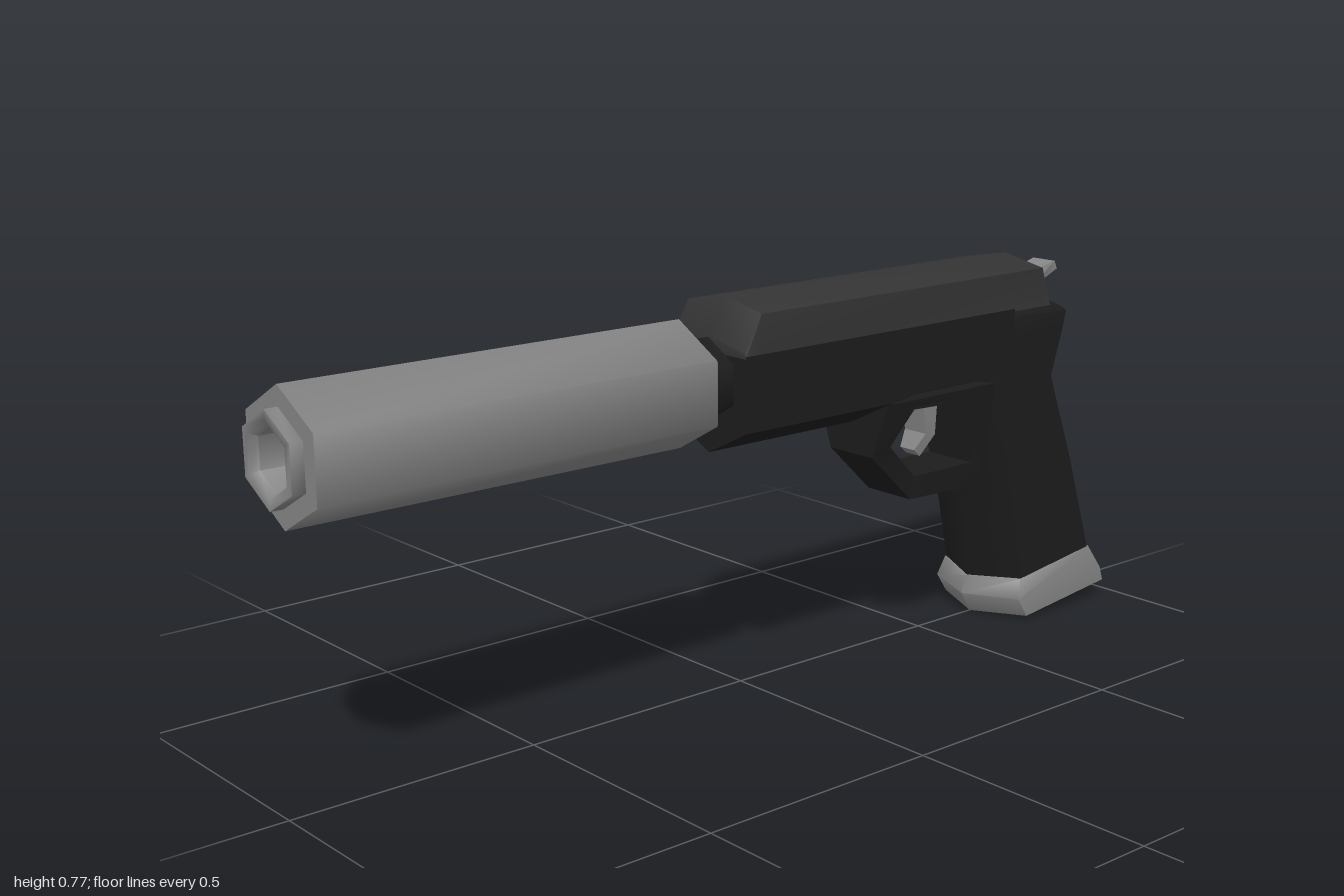
import * as THREE from 'three';
import { toCreasedNormals } from 'three/addons/utils/BufferGeometryUtils.js';

const CREASE = 1.1;
const mat = (color) => new THREE.MeshStandardMaterial({ color });

// Joins rings of points into a capped solid; the winding is chosen by signed volume
function loft(rings) {
  const n = rings[0].length, pts = rings.flat(), idx = [];
  for (let r = 0; r < rings.length - 1; r++) {
    for (let i = 0; i < n; i++) {
      const a = r * n + i, b = r * n + (i + 1) % n;
      idx.push(a, b, b + n, a, b + n, a + n);
    }
  }
  const last = (rings.length - 1) * n;
  for (let i = 1; i < n - 1; i++) idx.push(0, i + 1, i, last, last + i, last + i + 1);
  const v = pts.map((p) => new THREE.Vector3(...p));
  let volume = 0;
  for (let i = 0; i < idx.length; i += 3) {
    volume += v[idx[i]].dot(v[idx[i + 1]].clone().cross(v[idx[i + 2]]));
  }
  if (volume < 0) idx.reverse();
  const g = new THREE.BufferGeometry();
  g.setAttribute('position', new THREE.Float32BufferAttribute(pts.flat(), 3));
  g.setIndex(idx);
  return toCreasedNormals(g, CREASE);
}

// Six-sided turned part lying along z, corner upward
function turned(profile) {
  const g = new THREE.LatheGeometry(profile.map((p) => new THREE.Vector2(...p)), 6);
  g.rotateX(Math.PI / 2).scale(1.03, 1, 1).translate(0, 0.622, 0);
  return toCreasedNormals(g, CREASE);
}

// Plate drawn as [z, y] points, thickened across x; widthAt(z, y) gives the half width
function plate(outline, widthAt, hole) {
  const pts = (list) => list.map(([z, y]) => new THREE.Vector2(-z, y));
  const shape = new THREE.Shape(pts(outline));
  if (hole) shape.holes.push(new THREE.Path(pts(hole)));
  const g = new THREE.ExtrudeGeometry(shape, { depth: 2, bevelEnabled: false });
  g.translate(0, 0, -1).rotateY(Math.PI / 2);
  const p = g.attributes.position;
  for (let i = 0; i < p.count; i++) p.setX(i, p.getX(i) * widthAt(p.getZ(i), p.getY(i)));
  return toCreasedNormals(g, 0.7);
}

// Hexagonal grip ring with a point at the front and at the back
function gripRing([zf, yf, zb, yb, w, inset = 0.05]) {
  const at = (x, z) => [x, yf + (yb - yf) * (z - zf) / (zb - zf), z];
  const f = zf - inset, b = zb + inset * 0.8;
  return [at(0, zf), at(w, f), at(w, b), at(0, zb), at(-w, b), at(-w, f)];
}

export function createModel() {
  const group = new THREE.Group();
  const metal = mat(0x858585), dark = mat(0x1c1c1c), slideMat = mat(0x333333), black = mat(0x0c0c0c);
  const add = (name, geometry, material) => {
    const m = new THREE.Mesh(geometry, material);
    m.name = name;
    group.add(m);
  };

  // Muzzle tube with its open bore, and the barrel behind it
  add('suppressor', turned([
    [0, 0.132], [0.1, 0.132], [0.122, 0.15], [0.122, 0.975], [0.085, 0.975],
    [0.085, 1], [0.068, 1], [0.058, 0.985], [0.058, 0.8], [0, 0.8],
  ]), metal);
  add('barrel', turned([[0, 0.02], [0.08, 0.02], [0.08, 0.14], [0, 0.14]]), dark);

  // Slide with a shallow ridged top and sloped ends
  add('slide', loft([
    [0.08, 0.705], [0.04, 0.775], [-0.735, 0.775], [-0.76, 0.7],
  ].map(([z, top]) => [
    [0.108, 0.675, z], [0.105, top - 0.02, z], [0, top, z], [-0.105, top - 0.02, z], [-0.108, 0.675, z],
  ])), slideMat);
  const notch = [[-0.7, 0.675], [-0.7, 0.735], [-0.752, 0.735], [-0.772, 0.675]];
  add('hammerNotch', plate(notch, () => 0.05), black);

  // Frame with a keeled underside that steps up over the trigger
  add('frame', loft([
    [0.08, 0.48, 0.535], [-0.3, 0.48, 0.535], [-0.37, 0.508, 0.545], [-0.65, 0.51, 0.545],
  ].map(([z, keel, side]) => [
    [0.109, 0.68, z], [-0.109, 0.68, z], [-0.109, side, z], [0, keel, z], [0.109, side, z],
  ])), dark);

  // Raked grip rising into the rear tang
  add('grip', loft([
    [-0.65, 0.075, -0.955, 0.12, 0.109],
    [-0.6, 0.31, -0.885, 0.33, 0.109],
    [-0.56, 0.515, -0.81, 0.525, 0.109],
    [-0.56, 0.6, -0.84, 0.62, 0.109],
    [-0.56, 0.665, -0.85, 0.658, 0.109],
    [-0.59, 0.68, -0.825, 0.675, 0.1],
  ].map(gripRing)), dark);
  add('magazineBase', loft([
    [-0.66, 0, -1, 0.04, 0.119],
    [-0.632, 0.045, -0.988, 0.07, 0.12],
    [-0.645, 0.083, -0.957, 0.125, 0.11],
  ].map(gripRing)), metal);

  // Trigger guard, flaring where it meets the frame
  add('triggerGuard', plate(
    [[-0.295, 0.53], [-0.295, 0.415], [-0.405, 0.31], [-0.64, 0.305], [-0.64, 0.53]],
    (z, y) => (y > 0.5 ? 0.1 : 0.06),
    [[-0.375, 0.515], [-0.345, 0.43], [-0.415, 0.357], [-0.585, 0.357], [-0.565, 0.515]],
  ), dark);

  // Trigger and its mount
  add('triggerMount', plate([[-0.42, 0.52], [-0.43, 0.49], [-0.515, 0.487], [-0.525, 0.52]], () => 0.04), dark);
  add('trigger', plate(
    [[-0.468, 0.5], [-0.478, 0.43], [-0.455, 0.397], [-0.472, 0.382], [-0.505, 0.425], [-0.51, 0.5]],
    (z, y) => (y > 0.41 ? 0.03 : 0.02),
  ), metal);

  // Hammer curling back over the tang
  add('hammer', plate(
    [[-0.765, 0.67], [-0.785, 0.7], [-0.815, 0.737], [-0.86, 0.747], [-0.868, 0.73], [-0.835, 0.712], [-0.825, 0.67]],
    (z) => (z < -0.85 ? 0.03 : z < -0.8 ? 0.025 : 0.036),
  ), metal);
  return group;
}
